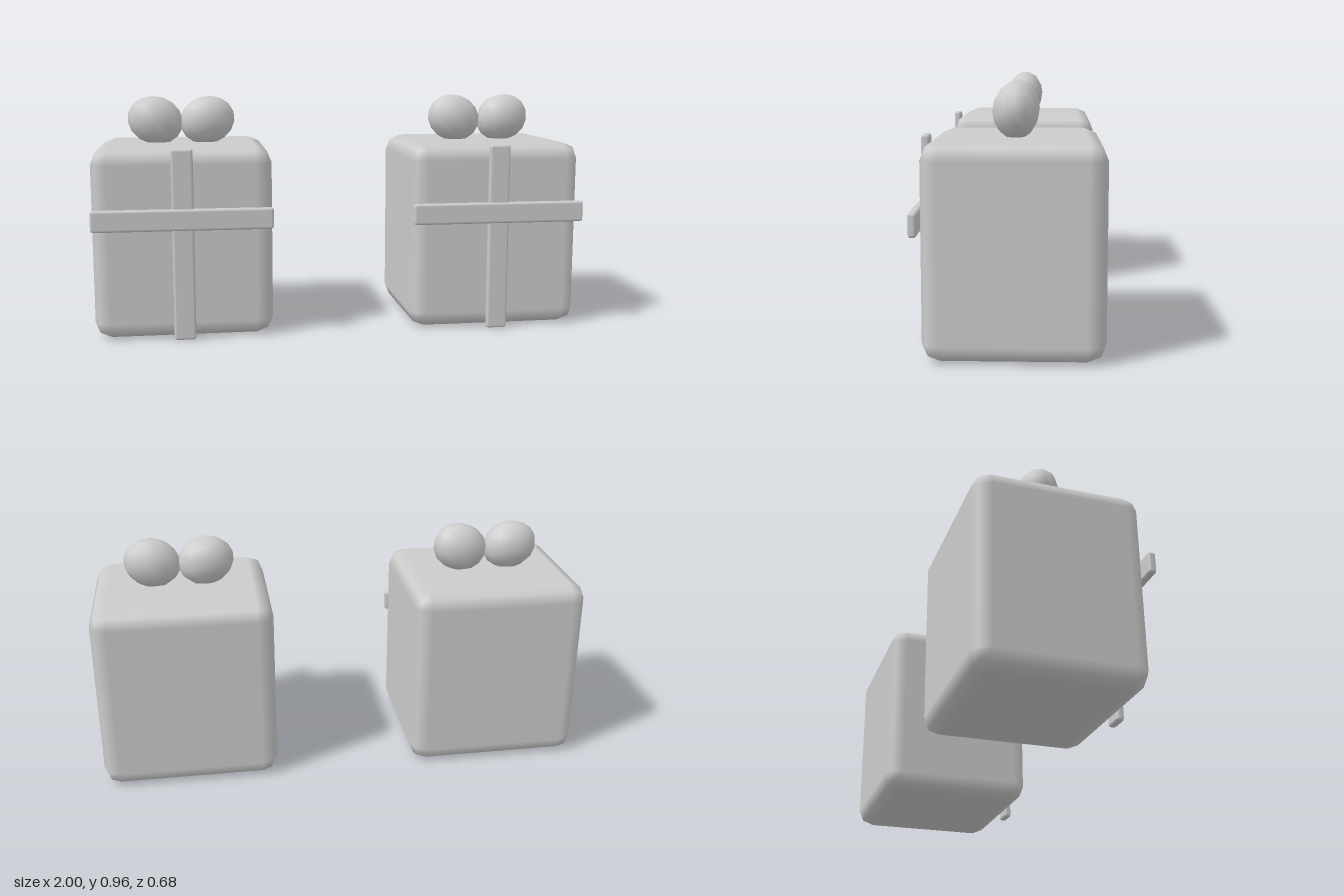
import * as THREE from 'three';
import { RoundedBoxGeometry } from 'three/addons/geometries/RoundedBoxGeometry.js';

const grey = new THREE.MeshStandardMaterial({ color: 0xcccccc });
grey.name = 'plain grey';

function part(name, geometry, x, y, z) {
  const mesh = new THREE.Mesh(geometry, grey);
  mesh.name = name;
  mesh.position.set(x, y, z);
  return mesh;
}

// One wrapped gift, centred on its own x = 0
function createGift(name) {
  const gift = new THREE.Group();
  gift.name = name;

  // Softly bevelled box
  gift.add(part('giftBox', new RoundedBoxGeometry(0.715, 0.766, 0.64, 1, 0.065), 0, 0.386, -0.018));

  // Ribbons crossing just in front of the box
  gift.add(part('verticalRibbon', new RoundedBoxGeometry(0.086, 0.766, 0.031, 1, 0.011), 0, 0.386, 0.3135));
  gift.add(part('horizontalRibbon', new RoundedBoxGeometry(0.715, 0.086, 0.031, 1, 0.011), 0, 0.49, 0.3235));

  // Two egg-shaped bow loops, outer ends tipped up a little
  for (const side of [-1, 1]) {
    const loop = part(side < 0 ? 'rightBowLoop' : 'leftBowLoop',
      new THREE.SphereGeometry(1, 12, 8), side * 0.108, 0.86, -0.018);
    loop.scale.set(0.116, 0.1, 0.083);
    loop.rotation.z = side * 0.3;
    gift.add(loop);
  }
  return gift;
}

export function createModel() {
  const model = new THREE.Group();
  model.name = 'giftPair';
  for (const side of [-1, 1]) {
    const gift = createGift(side < 0 ? 'rightGift' : 'leftGift');
    gift.position.x = side * 0.6425;
    model.add(gift);
  }
  return model;
}
